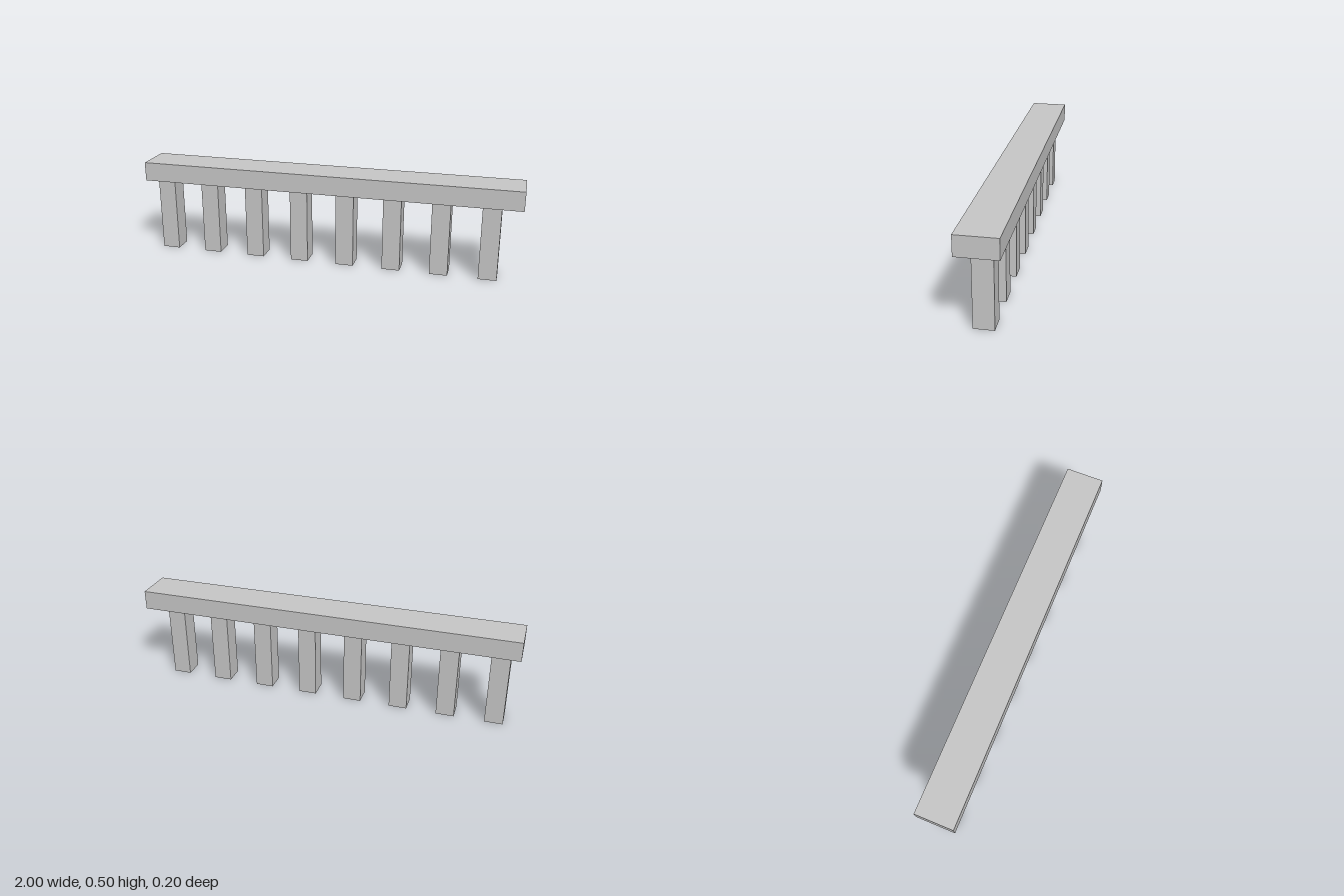
import * as THREE from 'three';

export function createModel() {
  const model = new THREE.Group();
  model.name = 'railing';
  const grey = new THREE.MeshStandardMaterial({ color: 0xc7c7c7 });
  grey.name = 'light stone grey';

  function addBox(name, width, height, depth, x, y) {
    const mesh = new THREE.Mesh(new THREE.BoxGeometry(width, height, depth), grey);
    mesh.name = name;
    mesh.position.set(x, y, 0);
    model.add(mesh);
  }

  // Top rail
  addBox('topRail', 2, 0.1, 0.2, 0, 0.45);

  // Evenly spaced posts, the row set slightly towards -x
  for (let i = 0; i < 8; i++) {
    addBox(`post${i + 1}`, 0.094, 0.4, 0.1, -0.903 + i * 0.25, 0.2);
  }

  return model;
}
